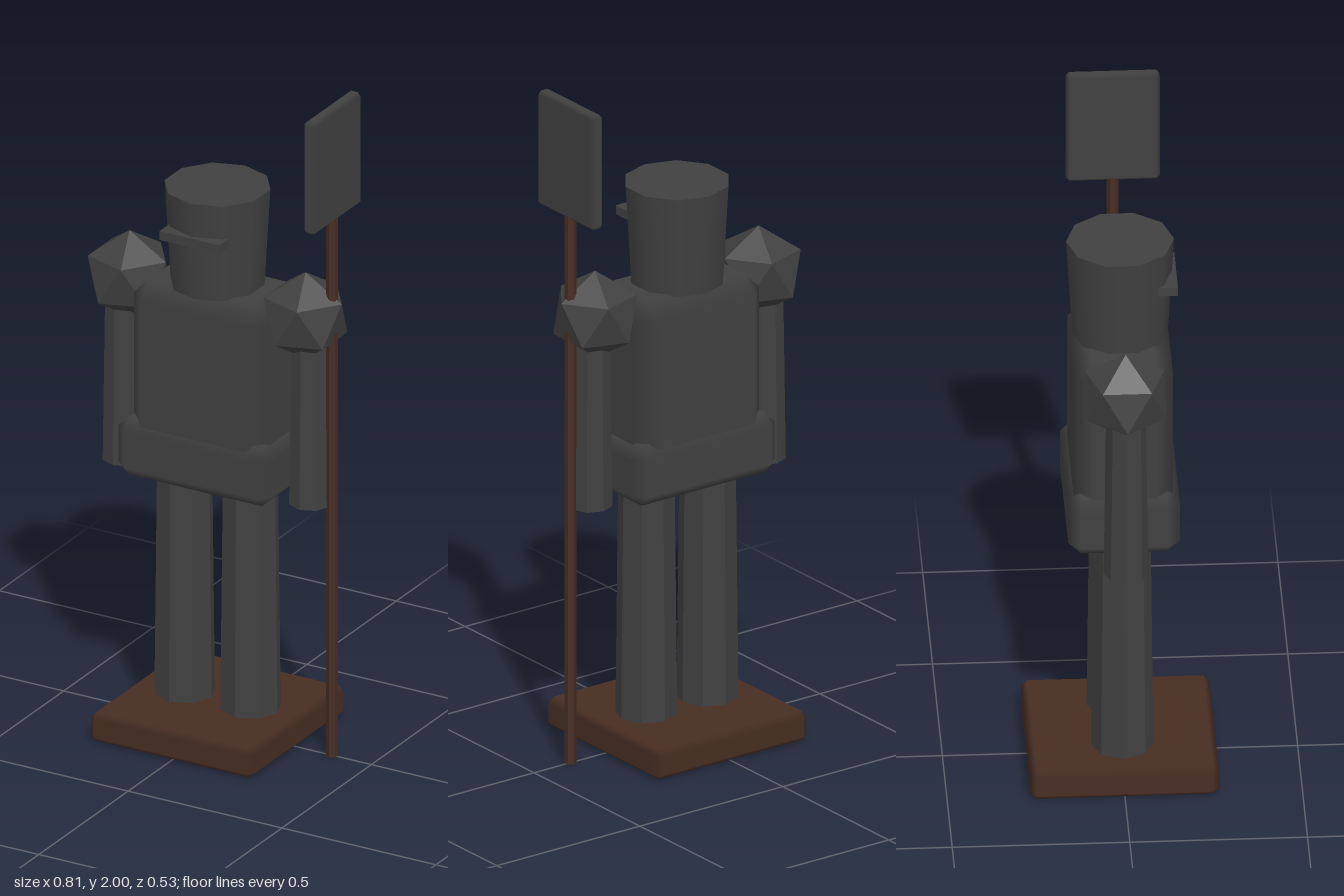
import * as THREE from 'three';
import { ConvexGeometry } from 'three/addons/geometries/ConvexGeometry.js';

const darkIron = new THREE.MeshStandardMaterial({ color: 0x404040 });
darkIron.name = 'darkIron';
const brownWood = new THREE.MeshStandardMaterial({ color: 0x472d22 });
brownWood.name = 'brownWood';

// Box with one chamfer on every edge; flat faces, softly shaded chamfers
function chamferBox(w, h, d, bevel) {
  const half = [w / 2, h / 2, d / 2];
  const points = [];
  for (const sx of [-1, 1]) for (const sy of [-1, 1]) for (const sz of [-1, 1]) {
    for (let axis = 0; axis < 3; axis++) {
      const p = [sx, sy, sz].map((s, i) => s * (half[i] - (i === axis ? 0 : bevel)));
      points.push(new THREE.Vector3(...p));
    }
  }
  const geometry = new ConvexGeometry(points);
  const pos = geometry.attributes.position;
  const normal = geometry.attributes.normal;
  for (let i = 0; i < pos.count; i++) {
    const p = [pos.getX(i), pos.getY(i), pos.getZ(i)];
    // each corner point takes the normal of the main face it lies on
    normal.setXYZ(i, ...p.map((v, k) => (Math.abs(Math.abs(v) - half[k]) < 1e-5 ? Math.sign(v) : 0)));
  }
  return geometry;
}

// Upright tapered prism between two heights
function column(rTop, rBottom, y0, y1, sides, flat) {
  let g = new THREE.CylinderGeometry(rTop, rBottom, y1 - y0, sides);
  g.translate(0, (y0 + y1) / 2, 0);
  if (flat) {
    g = g.toNonIndexed();
    g.computeVertexNormals();
  }
  return g;
}

export function createModel() {
  const model = new THREE.Group();
  model.name = 'armouredGuard';

  function add(name, geometry, material, x = 0, y = 0, z = 0) {
    const mesh = new THREE.Mesh(geometry, material);
    mesh.name = name;
    mesh.position.set(x, y, z);
    model.add(mesh);
  }

  // Plinth
  add('base', chamferBox(0.53, 0.09, 0.53, 0.017), brownWood, 0, 0.045, 0);

  // Body
  add('pelvis', chamferBox(0.5, 0.18, 0.315, 0.035), darkIron, 0, 0.87, 0);
  add('torso', chamferBox(0.44, 0.5, 0.28, 0.05), darkIron, 0, 1.13, 0);

  // Helmet, wider at the top, with a protruding visor bar
  add('helmet', column(0.152, 0.135, 1.375, 1.675, 10, false), darkIron);
  add('visor', new THREE.BoxGeometry(0.194, 0.027, 0.06), darkIron, 0, 1.558, 0.128);

  // Shoulder guard: icosahedron turned to stand on a corner
  const shoulder = new THREE.IcosahedronGeometry(0.132, 0);
  shoulder.rotateZ(-Math.atan(2 / (1 + Math.sqrt(5))));
  const leg = column(0.08, 0.088, 0.085, 0.82, 8, true);
  const arm = column(0.055, 0.063, 0.765, 1.34, 8, true);

  for (const [side, s] of [['left', 1], ['right', -1]]) {
    add(side + 'Leg', leg, darkIron, s * 0.107);
    add(side + 'Arm', arm, darkIron, s * 0.303);
    add(side + 'Shoulder', shoulder, darkIron, s * 0.286, 1.338, 0);
  }

  // Polearm held on the left
  add('poleShaft', column(0.017, 0.017, 0, 1.67, 6, true), brownWood, 0.372);
  add('poleBlade', chamferBox(0.04, 0.345, 0.264, 0.01), darkIron, 0.373, 1.8275, 0);

  return model;
}
